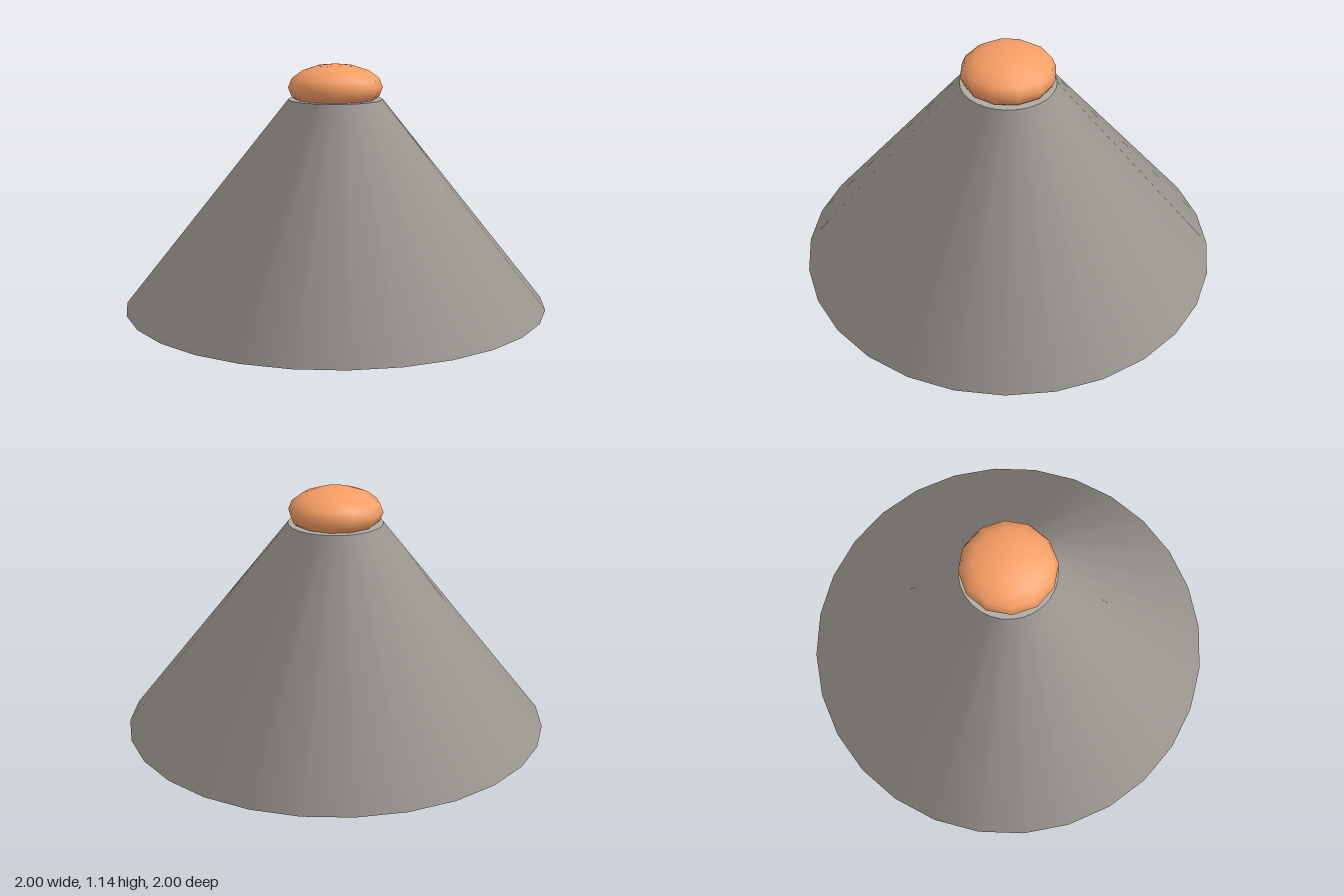
import * as THREE from 'three';

export function createModel() {
  const model = new THREE.Group();
  const add = (name, geometry, color, y) => {
    const mesh = new THREE.Mesh(geometry, new THREE.MeshStandardMaterial({ color }));
    mesh.name = name;
    mesh.position.y = y;
    model.add(mesh);
    return mesh;
  };

  // Truncated cone: a cylinder with its top ring drawn in, keeping the level side normals
  const height = 0.975;
  const body = new THREE.CylinderGeometry(1, 1, height, 28);
  const points = body.attributes.position;
  for (let i = 0; i < points.count; i++) {
    const taper = points.getY(i) > 0 ? 0.222 : 1;
    points.setX(i, points.getX(i) * taper);
    points.setZ(i, points.getZ(i) * taper);
  }
  add('coneBody', body, 0xb0aba4, height / 2);

  // Flattened ball sunk into the top of the cone
  const knob = add('topKnob', new THREE.SphereGeometry(0.222, 12, 8), 0xf79e64, 1.03);
  knob.scale.y = 0.5;

  return model;
}
